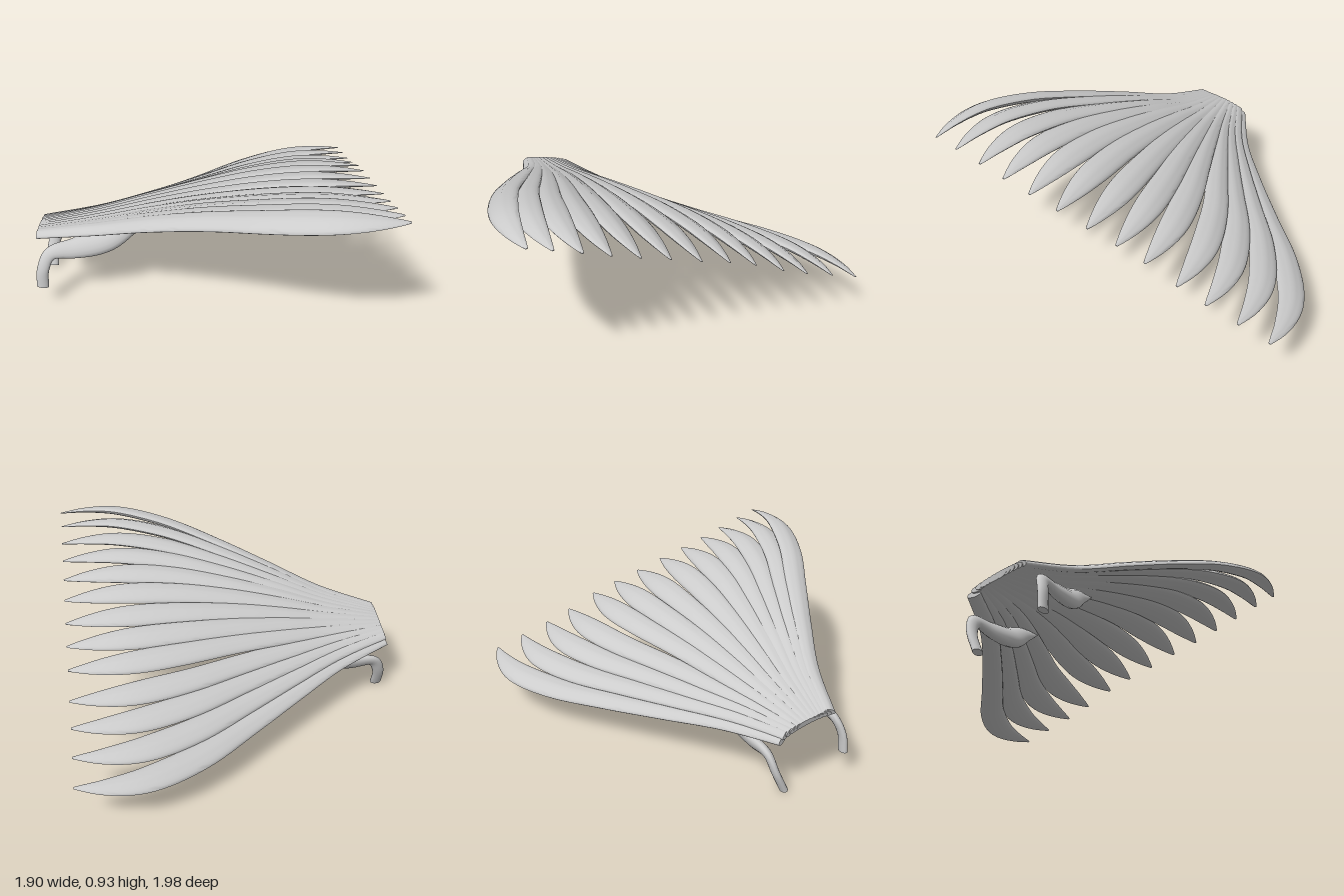
import * as THREE from 'three';
import { toCreasedNormals } from 'three/addons/utils/BufferGeometryUtils.js';

const material = new THREE.MeshStandardMaterial({ color: 0xcccccc });
const lerp = THREE.MathUtils.lerp;

// Smooth value through evenly spaced keys, u from 0 to 1
function keyed(keys) {
  const curve = new THREE.SplineCurve(keys.map((k, i) => new THREE.Vector2(i, k)));
  return (u) => curve.getPoint(u).y;
}

// Feather cross-section in (width, height): arched top with a raised shaft, shallow underside
function bladeSection() {
  const pts = [];
  for (let i = 0; i <= 12; i++) {
    const a = (i / 12) * Math.PI;
    pts.push([Math.cos(a), Math.sin(a) * 0.9 + (i === 6 ? 0.12 : 0)]);
  }
  for (let i = 1; i < 8; i++) {
    const a = Math.PI + (i / 8) * Math.PI;
    pts.push([Math.cos(a), Math.sin(a) * 0.7]);
  }
  return pts;
}

// Oval section for the stalks
function ovalSection() {
  return Array.from({ length: 16 }, (_, i) => {
    const a = (i / 16) * Math.PI * 2;
    return [Math.cos(a), Math.sin(a)];
  });
}

// Sweep a section along a path; "up" is the direction of the section's height
function sweep(points, section, up, width, height, steps) {
  const path = new THREE.CatmullRomCurve3(points.map((p) => new THREE.Vector3(...p)));
  const n = section.length;
  const pos = [];
  const index = [];
  for (let i = 0; i <= steps; i++) {
    const u = i / steps;
    const c = path.getPointAt(u);
    const t = path.getTangentAt(u);
    const side = new THREE.Vector3().crossVectors(t, up).normalize();
    const normal = new THREE.Vector3().crossVectors(side, t);
    for (const [a, b] of section) {
      const p = c.clone().addScaledVector(side, a * width(u)).addScaledVector(normal, b * height(u));
      pos.push(p.x, p.y, p.z);
    }
    if (i === steps) break;
    for (let j = 0; j < n; j++) {
      const a = i * n + j;
      const b = i * n + ((j + 1) % n);
      index.push(a, a + n, b, b, a + n, b + n);
    }
  }
  // End caps
  const last = steps * n;
  for (let j = 1; j < n - 1; j++) {
    index.push(0, j, j + 1, last, last + j + 1, last + j);
  }
  const geometry = new THREE.BufferGeometry();
  geometry.setAttribute('position', new THREE.Float32BufferAttribute(pos, 3));
  geometry.setIndex(index);
  return toCreasedNormals(geometry, 0.8);
}

export function createModel() {
  const model = new THREE.Group();
  const add = (name, geometry, parent) => {
    const mesh = new THREE.Mesh(geometry, material);
    mesh.name = name;
    parent.add(mesh);
  };

  // Fan of thirteen overlapping feathers, from back to front
  const fan = new THREE.Group();
  fan.name = 'featherFan';
  model.add(fan);
  const tipZ = [-0.94, -0.775, -0.605, -0.45, -0.275, -0.12, 0.045, 0.215, 0.375, 0.525, 0.665, 0.805, 0.925];
  const tipY = [0.25, 0.305, 0.36, 0.42, 0.5, 0.555, 0.605, 0.66, 0.71, 0.76, 0.81, 0.86, 0.9];
  // Roll of each feather in degrees: most lie in the slope of the fan, the front ones roll forward
  const roll = [23, 23, 23, 23, 23, 23, 22, 21, 17, 10, 2, -8, -18];
  // Stations along x with the share of the sideways and upward travel reached there
  const stations = [
    [-0.93, 0, 0], [-0.6, 0.16, 0.2], [-0.3, 0.37, 0.45], [0, 0.6, 0.68],
    [0.3, 0.83, 0.87], [0.6, 0.98, 0.99], [0.8, 1.01, 1.01], [0.95, 1, 1],
  ];
  const section = bladeSection();
  const taper = (u) => 1 - 0.92 * Math.max(0, (u - 0.7) / 0.3) ** 2.6;
  const baseWidth = keyed([0.035, 0.046, 0.057, 0.066, 0.075, 0.081, 0.078]);
  const featherWidth = (u) => baseWidth(u) * taper(u);
  const baseHeight = keyed([0.02, 0.023, 0.026, 0.029, 0.032, 0.033, 0.03]);
  const featherHeight = (u) => baseHeight(u) * taper(u);
  tipZ.forEach((z, i) => {
    const k = i / (tipZ.length - 1);
    const rootZ = lerp(0.0, 0.28, k);
    const rootY = lerp(0.325, 0.415, Math.sqrt(k));
    // The middle of the fan bows upward, its back edge sags
    const bow = 0.04 * Math.sin(Math.PI * k) - 0.035 * (1 - k) ** 2;
    const points = stations.map(([x, sz, sy]) => [
      x,
      lerp(rootY, tipY[i], sy) + bow * Math.sin((Math.PI * (x + 0.93)) / 1.88),
      lerp(rootZ, z, sz),
    ]);
    const a = THREE.MathUtils.degToRad(roll[i]);
    const up = new THREE.Vector3(0, Math.cos(a), -Math.sin(a));
    add('feather' + (i + 1), sweep(points, section, up, featherWidth, featherHeight, 56), fan);
  });

  // Two curved stalks that widen into a leaf under the fan
  const stalkUp = new THREE.Vector3(0, 0.55, 0.83).normalize();
  const stalkWidth = keyed([0.034, 0.034, 0.037, 0.05, 0.064, 0.068, 0.064, 0.05, 0.03, 0.004]);
  const stalkHeight = keyed([0.02, 0.02, 0.022, 0.028, 0.036, 0.04, 0.036, 0.028, 0.016, 0.004]);
  const stalks = {
    frontStalk: [
      [-0.915, 0.14, 0.4], [-0.905, 0.25, 0.39], [-0.86, 0.335, 0.36], [-0.72, 0.355, 0.335],
      [-0.55, 0.39, 0.31], [-0.4, 0.475, 0.28], [-0.22, 0.555, 0.255],
    ],
    backStalk: [
      [-0.915, 0.012, 0.03], [-0.905, 0.13, -0.02], [-0.86, 0.215, -0.04], [-0.72, 0.225, -0.045],
      [-0.55, 0.255, -0.05], [-0.4, 0.335, -0.065], [-0.24, 0.4, -0.085],
    ],
  };
  for (const [name, points] of Object.entries(stalks)) {
    add(name, sweep(points, ovalSection(), stalkUp, stalkWidth, stalkHeight, 48), model);
  }
  return model;
}
